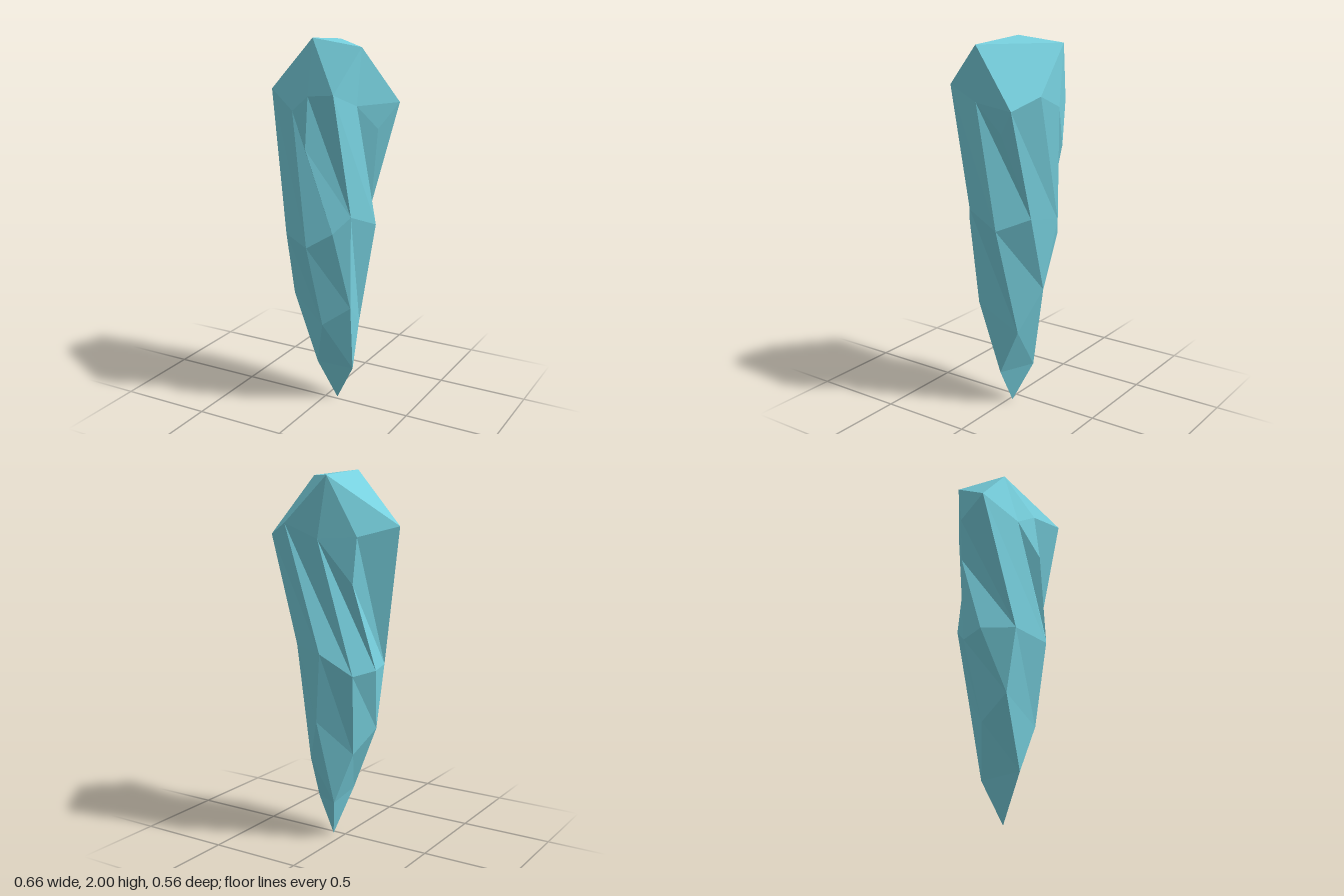
import * as THREE from 'three';

// Corner rings of the shard, listed counterclockwise seen from above.
// The shard has three similar sides, so every ring holds a multiple of three corners.
const rings = {
  cap: [[-0.06, 2, 0.03], [0.245, 1.97, 0.075], [-0.05, 1.975, -0.255]],
  // per side: spike, inner corner, outer corner
  crown: [
    [-0.125, 1.635, 0.13], [0, 1.725, 0.187], [0.195, 1.755, 0.278],
    [0.228, 1.68, 0.09], [0.33, 1.67, -0.2], [0.19, 1.735, -0.28],
    [0, 1.66, -0.265], [-0.185, 1.67, -0.185], [-0.33, 1.72, -0.005],
  ],
  notch: [[0, 1.46, 0.215], [0.26, 1.54, -0.09], [-0.16, 1.43, -0.185]],
  girdle: [
    [0.015, 0.945, 0.237], [0.15, 1.03, 0.2], [0.225, 1.115, 0.14],
    [0.27, 1.035, -0.06], [0.168, 1.1, -0.21], [-0.005, 1.07, -0.26],
    [-0.15, 0.95, -0.168], [-0.22, 0.97, -0.05], [-0.17, 0.97, 0.127],
  ],
  waist: [
    [0.065, 0.5, 0.155], [0.205, 0.6, 0.1], [0.15, 0.45, -0.115],
    [0.05, 0.69, -0.21], [-0.1, 0.5, -0.08], [-0.155, 0.62, 0.07],
  ],
  foot: [[0, 0.25, 0.09], [0.165, 0.2, -0.01], [0, 0.22, -0.115]],
};
const tip = [0.065, 0, -0.02];

// Corner of a ring, wrapping around
const at = (ring, i) => rings[ring][(i + rings[ring].length) % rings[ring].length];

function shardGeometry() {
  const pos = [];
  const face = (...c) => {
    for (let i = 1; i < c.length - 1; i++) pos.push(...c[0], ...c[i], ...c[i + 1]);
  };

  // Pointed top: a triangle with a fan of facets below each of its corners
  face(...rings.cap);
  const fanEnds = [-1, 2, 4, 8];
  for (let k = 0; k < 3; k++) {
    for (let i = fanEnds[k]; i < fanEnds[k + 1]; i++) {
      face(at('cap', k), at('crown', i), at('crown', i + 1));
    }
    face(at('cap', k), at('crown', fanEnds[k + 1]), at('cap', k + 1));
  }

  for (let k = 0; k < 3; k++) {
    const [spike, inner, outer, nextSpike] = [0, 1, 2, 3].map((j) => at('crown', 3 * k + j));
    const [g0, g1, g2, g3] = [0, 1, 2, 3].map((j) => at('girdle', 3 * k + j));
    const [w0, w1, w2] = [0, 1, 2].map((j) => at('waist', 2 * k + j));
    const notch = at('notch', k);
    const f0 = at('foot', k);
    const f1 = at('foot', k + 1);

    // Long upper facets, with the cut below each spike
    face(spike, g0, g1, notch);
    face(spike, notch, inner);
    if (k === 1) face(inner, notch, g1, g2);
    else face(notch, g1, g2, inner);
    face(inner, g2, outer);
    face(outer, g2, g3, nextSpike);

    // Middle facets
    face(g0, w0, w1, g1);
    face(g1, w1, g2);
    face(g2, w1, w2, g3);

    // Lower facets down to the tip
    face(w0, f0, f1, w1);
    face(w1, f1, w2);
    face(f0, tip, f1);
  }

  const geometry = new THREE.BufferGeometry();
  geometry.setAttribute('position', new THREE.Float32BufferAttribute(pos, 3));
  geometry.computeVertexNormals();
  return geometry;
}

export function createModel() {
  const group = new THREE.Group();
  group.name = 'crystal';
  const shard = new THREE.Mesh(
    shardGeometry(),
    new THREE.MeshStandardMaterial({ color: 0x78d2e0, flatShading: true }),
  );
  shard.name = 'crystalShard';
  group.add(shard);
  return group;
}
